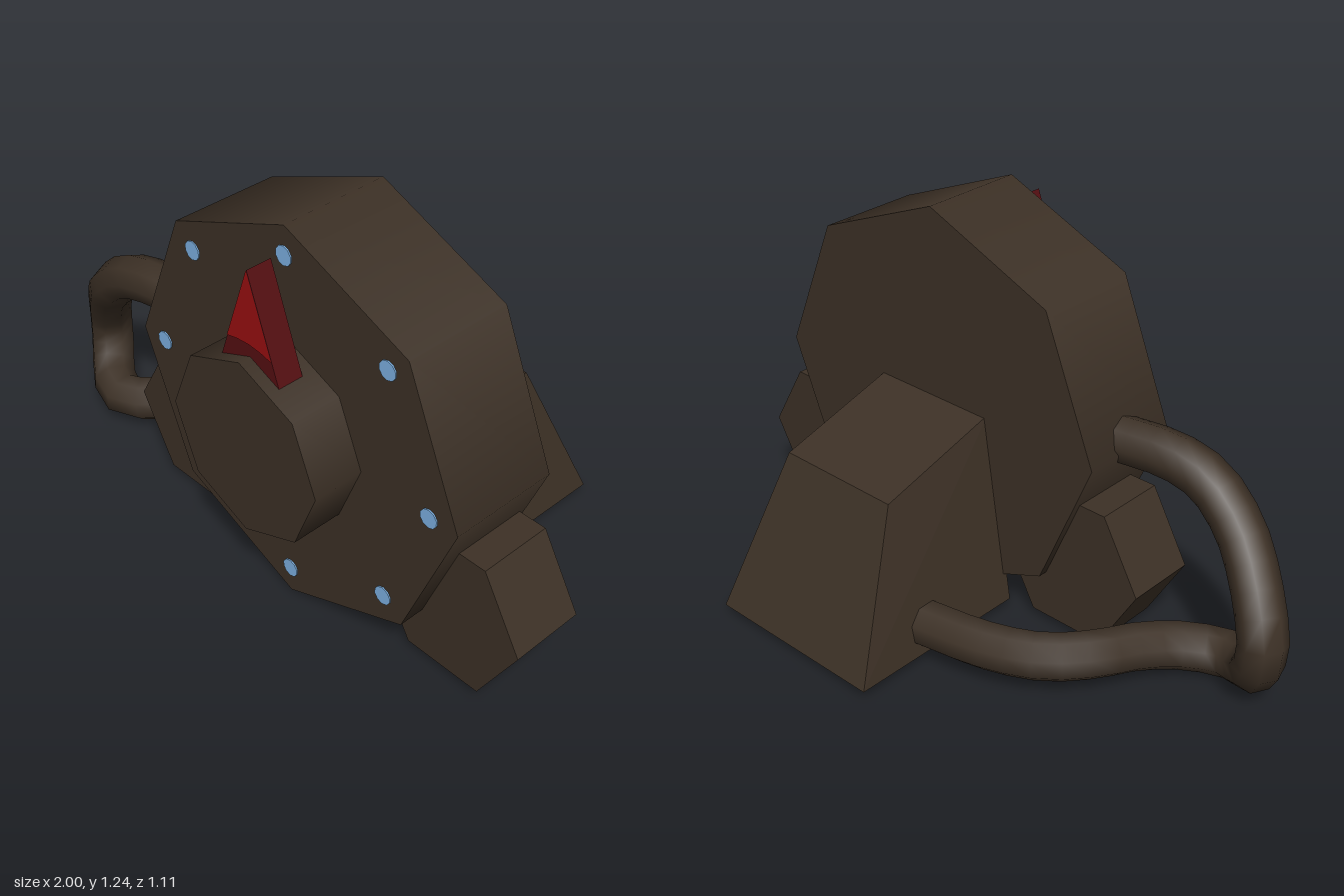
import * as THREE from 'three';

const CX = 0.227, CY = 0.62; // dial centre

export function createModel() {
  const group = new THREE.Group();
  const mat = (name, color) => {
    const m = new THREE.MeshStandardMaterial({ color });
    m.name = name;
    return m;
  };
  const brown = mat('dark brown', 0x3d3126);
  const red = mat('bright red', 0x990f10);
  const darkRed = mat('dark red', 0x560f12);
  const blue = mat('light blue', 0x7db2e4);

  const add = (name, geometry, material) => {
    const mesh = new THREE.Mesh(geometry, material);
    mesh.name = name;
    group.add(mesh);
    return mesh;
  };
  const faceted = (geometry) => {
    const g = geometry.toNonIndexed();
    g.computeVertexNormals();
    return g;
  };
  // Disc or prism lying along z between z0 and z1
  const disc = (x, y, r, z0, z1, sides, turn = 0) =>
    new THREE.CylinderGeometry(r, r, z1 - z0, sides)
      .rotateY(turn).rotateX(Math.PI / 2).translate(x, y, (z0 + z1) / 2);

  // Eight-sided housing and central knob
  add('housing', disc(CX, CY, 0.618, 0.05, 0.395, 8), brown);
  add('knob', disc(CX, CY, 0.28, 0.38, 0.555, 8), brown);

  // Ring of bolts on the front face
  for (let i = 0; i < 8; i++) {
    const a = (i * Math.PI) / 4;
    add('bolt', disc(CX + 0.522 * Math.sin(a), CY + 0.53 * Math.cos(a), 0.029, 0.393, 0.399, 10), blue);
  }

  // Hexagonal feet on both sides
  for (const s of [-1, 1]) {
    add('foot', faceted(disc(CX + s * 0.518, 0.25, 0.255, 0.08, 0.313, 6, Math.PI / 2)), brown);
  }

  // Tapered box at the back
  const back = new THREE.BoxGeometry(1, 1, 1);
  const p = back.attributes.position;
  for (let i = 0; i < p.count; i++) {
    const top = p.getY(i) > 0, front = p.getZ(i) > 0;
    p.setXYZ(i,
      CX + Math.sign(p.getX(i)) * (top ? 0.21 : 0.307),
      top ? (front ? 0.64 : 0.52) : 0.03,
      front ? 0.065 : (top ? -0.343 : -0.553));
  }
  add('backBox', faceted(back), brown);

  // Pointer above the knob: dark prism with a bright front
  const prism = new THREE.Shape([[0.225, 1.16], [0.106, 0.83], [0.344, 0.83]]
    .map(([x, y]) => new THREE.Vector2(x, y)));
  add('pointer', new THREE.ExtrudeGeometry(prism, { depth: 0.08, bevelEnabled: false })
    .translate(0, 0, 0.437), darkRed);
  const tip = new THREE.Shape([[0.225, 1.16], [0.14, 0.925], [0.18, 0.934], [0.225, 0.938], [0.27, 0.934], [0.31, 0.925]]
    .map(([x, y]) => new THREE.Vector2(x, y)));
  add('pointerFace', new THREE.ShapeGeometry(tip).translate(0, 0, 0.519), red);

  // Hose from the housing round to the back box
  const path = new THREE.CatmullRomCurve3([
    [-0.33, 0.64, 0.225], [-0.53, 0.64, 0.25], [-0.65, 0.605, 0.255], [-0.765, 0.51, 0.24],
    [-0.85, 0.41, 0.2], [-0.93, 0.25, 0.15], [-0.905, 0.15, 0.17], [-0.85, 0.1, 0.215],
    [-0.76, 0.08, 0.24], [-0.65, 0.09, 0.17], [-0.57, 0.11, 0.05], [-0.52, 0.12, -0.06],
    [-0.42, 0.12, -0.17], [-0.27, 0.115, -0.235], [-0.05, 0.11, -0.275],
  ].map((v) => new THREE.Vector3(...v)));
  add('hose', new THREE.TubeGeometry(path, 28, 0.072, 8), brown);
  return group;
}
